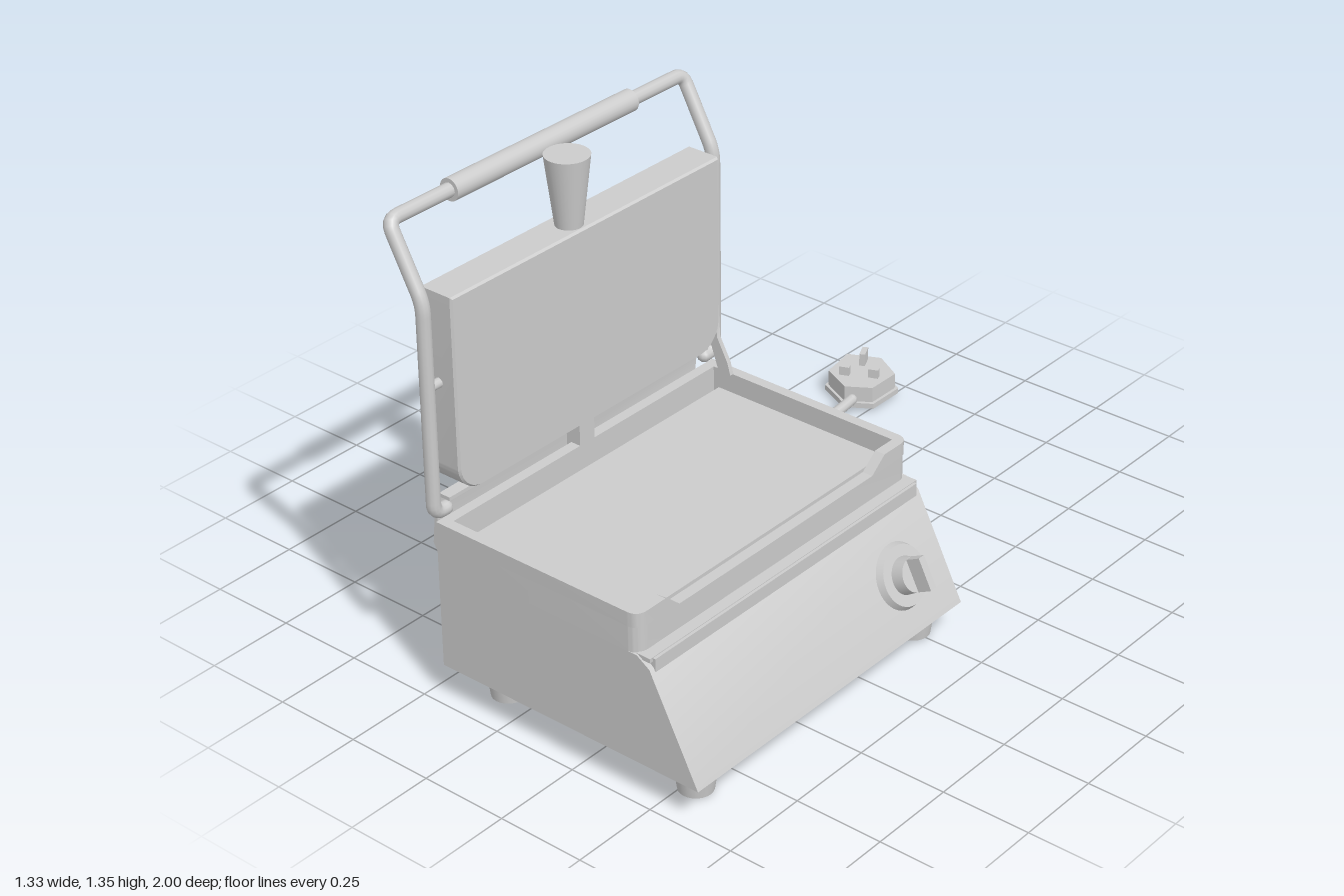
import * as THREE from 'three';
import { toCreasedNormals } from 'three/addons/utils/BufferGeometryUtils.js';

const Z0 = -0.07, Z1 = 0.975, ZM = (Z0 + Z1) / 2;

export function createModel() {
  const model = new THREE.Group();
  const mat = new THREE.MeshStandardMaterial({ color: 0xcccccc });
  const V = (a) => new THREE.Vector3(...a);

  function add(name, geo, pos = [0, 0, 0], parent = model) {
    const m = new THREE.Mesh(geo, mat);
    m.name = name;
    m.position.set(...pos);
    parent.add(m);
    return m;
  }
  const box = (name, x0, x1, y0, y1, z0, z1) =>
    add(name, new THREE.BoxGeometry(x1 - x0, y1 - y0, z1 - z0), [(x0 + x1) / 2, (y0 + y1) / 2, (z0 + z1) / 2]);
  const shapeOf = (pts) => new THREE.Shape(pts.map((p) => new THREE.Vector2(...p)));
  const extrude = (shape, depth, extra = {}) => toCreasedNormals(
    new THREE.ExtrudeGeometry(shape, { depth, bevelEnabled: false, curveSegments: 10, ...extra }), 0.6);
  // Side profile (x, y) pulled along z
  const alongZ = (name, pts, z0, z1) => add(name, extrude(shapeOf(pts), z1 - z0), [0, 0, z0]);
  // Plan (x, -z) pulled upward
  const upward = (name, shape, y0, y1) => add(name, extrude(shape, y1 - y0).rotateX(-Math.PI / 2), [0, y0, 0]);
  const curve = (pts) => new THREE.CatmullRomCurve3(pts.map(V), false, 'centripetal');
  function tube(name, path, r, n = 60, sides = 12) {
    add(name, new THREE.TubeGeometry(path, n, r, sides));
    for (const t of [0, 1]) {
      add(name + 'End', new THREE.SphereGeometry(r, sides, 6), path.getPointAt(t).toArray());
    }
  }

  // Base housing with sloping control panel
  alongZ('housing', [[-0.2, 0.1], [0.63, 0.1], [0.484, 0.385], [0.445, 0.41], [-0.2, 0.41]], Z0, Z1);
  box('dripTrayLip', 0.44, 0.49, 0.345, 0.41, -0.055, 0.96);
  box('dripTraySlot', 0.44, 0.482, 0.4, 0.412, -0.065, 0.97);

  // Feet
  for (const x of [-0.085, 0.53]) {
    for (const z of [0.0, 0.865]) {
      add('foot', new THREE.CylinderGeometry(0.06, 0.046, 0.1, 24), [x, 0.055, z]);
    }
  }

  // Cooking tray: low rim all round, higher at the sides and back
  const X0 = -0.2, X1 = 0.45, r = 0.035, t = 0.03;
  const rim = new THREE.Shape();
  rim.moveTo(X0, -Z1).lineTo(X1 - r, -Z1).absarc(X1 - r, -Z1 + r, r, -Math.PI / 2, 0)
    .lineTo(X1, -Z0 - r).absarc(X1 - r, -Z0 - r, r, 0, Math.PI / 2).lineTo(X0, -Z0);
  rim.holes.push(shapeOf([[X0 + t, -Z1 + t], [X0 + t, -Z0 - t], [X1 - t, -Z0 - t], [X1 - t, -Z1 + t]]));
  upward('trayRim', rim, 0.41, 0.48);
  for (const s of [-1, 1]) {
    const edge = ZM + s * (Z1 - ZM);
    const side = new THREE.Shape();
    const q = (u) => -edge + s * u;
    side.moveTo(X0, q(0)).lineTo(X1 - r, q(0)).quadraticCurveTo(X1, q(0), X1, q(r))
      .lineTo(X1, q(0.1)).lineTo(X1 - t, q(0.1)).lineTo(X1 - t, q(t)).lineTo(X0, q(t));
    upward('traySideWall', side, 0.48, 0.52);
    // Sloping ends of the front cut-out
    const z = edge - s * 0.1;
    const ramp = shapeOf([[-z, 0.48], [-z, 0.52], [-z + s * 0.05, 0.48]]);
    add('frontRamp', extrude(ramp, t).rotateY(Math.PI / 2), [X1 - t, 0, 0]);
  }
  box('trayBackWall', X0, X0 + t, 0.48, 0.52, Z0 + t, Z1 - t);
  box('lowerPlate', -0.14, 0.405, 0.41, 0.475, -0.025, 0.93);

  // Bent splash sheet behind the hinge
  alongZ('splashSheet', [[-0.2, 0.405], [-0.232, 0.41], [-0.243, 0.43], [-0.228, 0.57], [-0.215, 0.583],
    [-0.18, 0.583], [-0.18, 0.573], [-0.21, 0.573], [-0.218, 0.565], [-0.232, 0.435], [-0.226, 0.418], [-0.2, 0.414]], -0.03, 0.945);
  box('hinge', -0.215, -0.17, 0.5, 0.62, 0.43, 0.485);
  alongZ('lidStay', [[-0.17, 0.73], [-0.18, 0.62], [-0.145, 0.52], [-0.105, 0.52], [-0.115, 0.555], [-0.15, 0.62], [-0.155, 0.73]], -0.043, -0.03);

  // Raised lid, rounded at its lower corners
  const lid = new THREE.Shape();
  const a = -0.94, b = 0.025, c = 0.075;
  lid.moveTo(a, 1.14).lineTo(a, 0.605 + c).absarc(a + c, 0.605 + c, c, Math.PI, 1.5 * Math.PI)
    .lineTo(b - c, 0.605).absarc(b - c, 0.605 + c, c, -Math.PI / 2, 0).lineTo(b, 1.14);
  add('lid', extrude(lid, 0.093, { bevelEnabled: true, bevelSize: 0.005, bevelThickness: 0.006, bevelSegments: 1 })
    .rotateY(Math.PI / 2), [-0.239, 0, 0]);
  add('lidKnob', new THREE.CylinderGeometry(0.059, 0.035, 0.2, 32), [-0.185, 1.235, 0.485]);

  // Lifting frame with grip and pivot pins
  const zL = -0.072, zR = 0.985, path = new THREE.CurvePath();
  const corners = [[-0.195, 0.55, -0.03], [-0.195, 0.55, zL], [-0.195, 1.13, zL], [-0.295, 1.317, zL],
    [-0.295, 1.317, zR], [-0.195, 1.13, zR], [-0.195, 0.55, zR], [-0.195, 0.55, 0.945]].map(V);
  let last = corners[0];
  for (let i = 1; i < corners.length - 1; i++) {
    const p = corners[i];
    const toward = (o) => p.clone().add(o.clone().sub(p).setLength(0.03));
    const p0 = toward(corners[i - 1]), p1 = toward(corners[i + 1]);
    path.add(new THREE.LineCurve3(last, p0));
    path.add(new THREE.QuadraticBezierCurve3(p0, p, p1));
    last = p1;
  }
  path.add(new THREE.LineCurve3(last, corners.at(-1)));
  tube('liftFrame', path, 0.019, 260);
  add('grip', new THREE.CylinderGeometry(0.03, 0.03, 0.65, 24).rotateX(Math.PI / 2), [-0.295, 1.317, 0.455]);
  for (const z of [-0.05, 0.965]) {
    add('pivotPin', new THREE.CylinderGeometry(0.013, 0.013, 0.06, 12).rotateX(Math.PI / 2), [-0.195, 0.9, z]);
  }

  // Curved conduit between base and lid
  tube('conduit', curve([[-0.235, 0.76, 0.45], [-0.29, 0.735, 0.45], [-0.36, 0.655, 0.45], [-0.39, 0.53, 0.45],
    [-0.365, 0.4, 0.45], [-0.29, 0.315, 0.45], [-0.19, 0.29, 0.45]]), 0.029, 50, 16);

  // Control dial, turned to face out of the sloping panel
  const dial = new THREE.Group();
  dial.name = 'controlDial';
  dial.position.set(0.56, 0.237, 0.1);
  dial.quaternion.setFromUnitVectors(new THREE.Vector3(0, 1, 0), new THREE.Vector3(0.89, 0.456, 0).normalize());
  model.add(dial);
  add('dialPlate', new THREE.CylinderGeometry(0.08, 0.089, 0.02, 40), [0, 0.008, 0], dial);
  add('dialBody', new THREE.CylinderGeometry(0.046, 0.05, 0.035, 32), [0, 0.034, 0], dial);
  add('dialPointer', new THREE.BoxGeometry(0.09, 0.07, 0.022), [0, 0.06, 0], dial);

  // Cable gland
  box('glandFlange', -0.21, -0.19, 0.16, 0.24, 0.045, 0.125);
  box('glandBlock', -0.285, -0.2, 0.17, 0.225, 0.05, 0.12);
  add('strainRelief', new THREE.CylinderGeometry(0.019, 0.027, 0.065, 16).rotateZ(Math.PI / 2), [-0.312, 0.194, 0.085]);

  // Mains cable: lead-in, three bundled loops, then the run to the plug
  const cable = [[-0.33, 0.194, 0.085], [-0.42, 0.207, 0.083], [-0.52, 0.205, 0.065], [-0.6, 0.187, 0.01],
    [-0.62, 0.17, -0.06], [-0.57, 0.145, -0.14], [-0.42, 0.115, -0.24]];
  const loop = [[-0.36, -0.255], [-0.2, -0.355], [-0.12, -0.365], [-0.092, -0.315], [-0.15, -0.245], [-0.35, -0.16],
    [-0.5, -0.065], [-0.6, -0.04], [-0.645, -0.095], [-0.6, -0.155], [-0.42, -0.225]];
  const tie = [-0.385, 0.075, -0.205];
  [0.13, 0.076, 0.022].forEach((y, k) => {
    loop.forEach(([x, z], i) => {
      const far = Math.min(1, Math.abs(x - tie[0]) / 0.2);
      const drop = k < 2 ? 0.03 * i / loop.length : 0;
      const s = 1 - 0.05 * k;
      cable.push([tie[0] + (x - tie[0]) * s, 0.065 + (y - drop - 0.065) * (0.6 + 0.4 * far), tie[2] + (z - tie[2]) * s]);
    });
  });
  cable.push([-0.38, 0.035, -0.28], [-0.335, 0.033, -0.4], [-0.295, 0.033, -0.55], [-0.28, 0.035, -0.7], [-0.285, 0.04, -0.79]);
  tube('mainsCable', curve(cable), 0.016, 500, 10);

  // Tie round the bundle
  const ring = add('cableTie', new THREE.TorusGeometry(0.066, 0.007, 8, 32), tie);
  ring.rotation.y = 0.72 + Math.PI / 4;
  ring.scale.set(1.1, 1, 1);

  // Three-pin plug lying on its back
  const outline = [[-0.33, -0.99], [-0.24, -0.94], [-0.24, -0.83], [-0.31, -0.785], [-0.405, -0.83], [-0.425, -0.945]];
  const plan = (s) => shapeOf(outline.map(([x, z]) => [-0.33 + (x + 0.33) * s, 0.89 - (z + 0.89) * s]).reverse());
  upward('plugBase', plan(1.07), 0.012, 0.028);
  upward('plugBody', plan(0.97), 0.028, 0.075);
  for (const [x, z, w, d, h, ry] of [[-0.355, -0.935, 0.017, 0.045, 0.113, 0.45],
    [-0.28, -0.885, 0.03, 0.016, 0.102, 0.4], [-0.355, -0.845, 0.03, 0.016, 0.102, 0.4]]) {
    add('plugPin', new THREE.BoxGeometry(w, h - 0.06, d), [x, (h + 0.06) / 2, z]).rotation.y = ry;
  }

  return model;
}
